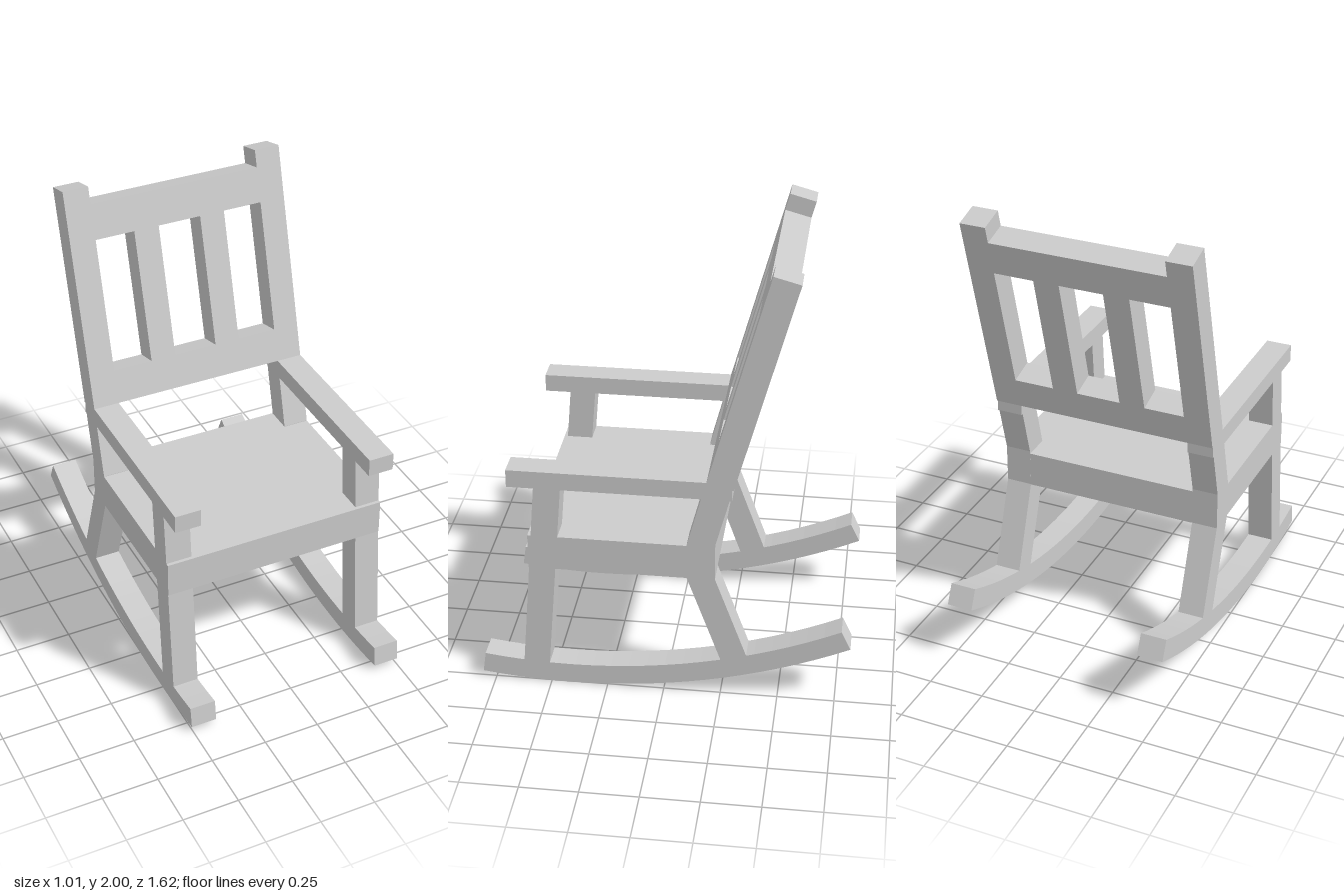
import * as THREE from 'three';

export function createModel() {
  const model = new THREE.Group();
  model.name = 'rockingChair';
  const wood = new THREE.MeshStandardMaterial({ color: 0xcccccc });
  wood.name = 'paleGrey';

  const INNER = 0.39, OUTER = 0.505, WIDTH = OUTER - INNER;

  const add = (parent, name, geometry, x = 0, y = 0, z = 0) => {
    const mesh = new THREE.Mesh(geometry, wood);
    mesh.name = name;
    mesh.position.set(x, y, z);
    parent.add(mesh);
  };

  // Side profile given as [z, y] points, extruded across the post width
  const profile = (points) => {
    const shape = new THREE.Shape(points.map(([z, y]) => new THREE.Vector2(z, y)));
    return new THREE.ExtrudeGeometry(shape, { depth: WIDTH, bevelEnabled: false })
      .rotateY(-Math.PI / 2)
      .translate(WIDTH / 2, 0, 0);
  };

  // Rocker: a ring segment around a high centre
  const R = 2.84, T = 0.095, CZ = 0.42, STEPS = 20;
  const arc = (radius, i) => {
    const a = THREE.MathUtils.lerp(0.137, -0.448, i / STEPS);
    return [CZ + radius * Math.sin(a), R - radius * Math.cos(a)];
  };
  const rocker = [];
  for (let i = 0; i <= STEPS; i++) rocker.push(arc(R, i));
  for (let i = STEPS; i >= 0; i--) rocker.push(arc(R - T, i));

  const sideParts = {
    Rocker: rocker,
    FrontLeg: [[0.622, 0.08], [0.508, 0.08], [0.435, 0.98], [0.55, 0.98]],
    BackLeg: [
      [-0.26, 0.15], [-0.10, 0.59], [-0.10, 0.75], [-0.16, 0.98],
      [-0.28, 0.98], [-0.222, 0.76], [-0.222, 0.59], [-0.383, 0.15],
    ],
    Armrest: [[0.665, 0.98], [0.665, 1.06], [-0.19, 1.06], [-0.29, 1.04], [-0.29, 0.98]],
  };
  for (const [side, sign] of [['left', 1], ['right', -1]]) {
    for (const [name, points] of Object.entries(sideParts)) {
      add(model, side + name, profile(points), sign * (INNER + OUTER) / 2);
    }
  }

  // Solid seat block
  add(model, 'seat', new THREE.BoxGeometry(OUTER * 2, 0.16, 0.805), 0, 0.668, 0.181);

  // Leaning backrest, built upright and tilted about its lower front edge
  const back = new THREE.Group();
  back.name = 'backrest';
  back.position.set(0, 1.06, -0.182);
  back.rotation.x = -0.265;
  model.add(back);
  const D = 0.118;
  const board = (name, x0, x1, y0, y1) =>
    add(back, name, new THREE.BoxGeometry(x1 - x0, y1 - y0, D), (x0 + x1) / 2, (y0 + y1) / 2, -D / 2);
  board('lowerRail', -INNER, INNER, 0, 0.15);
  board('upperRail', -INNER, INNER, 0.741, 0.897);
  board('leftSlat', 0.098, 0.212, 0.15, 0.741);
  board('rightSlat', -0.212, -0.098, 0.15, 0.741);
  board('leftPost', INNER, OUTER, 0, 0.974);
  board('rightPost', -OUTER, -INNER, 0, 0.974);

  return model;
}
